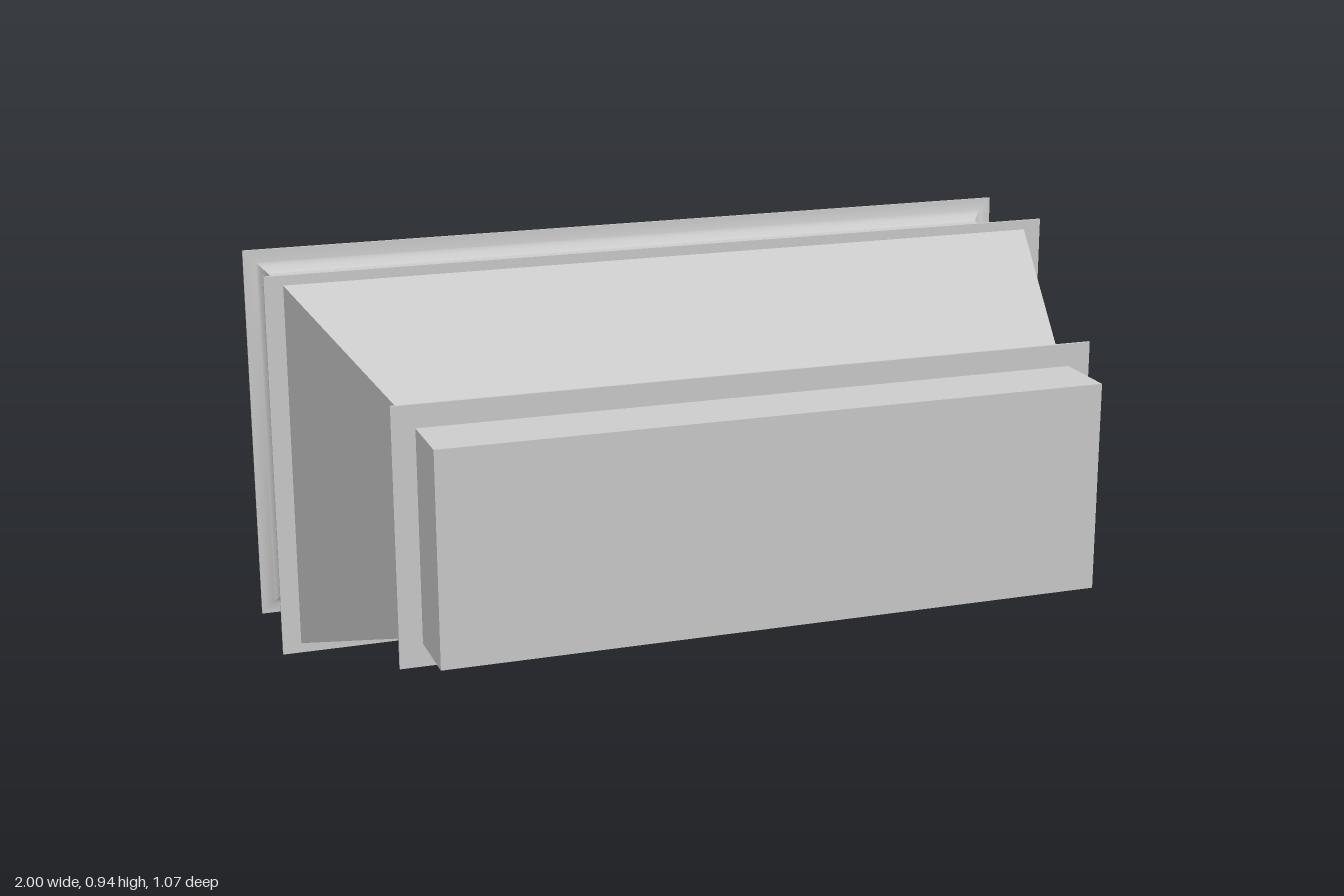
import * as THREE from 'three';
import { toCreasedNormals } from 'three/addons/utils/BufferGeometryUtils.js';

const CENTRE_Y = 0.47;
const CORNERS = [[1, 1], [-1, 1], [-1, -1], [1, -1]];

// Rectangular loft through rings [halfWidth, halfHeight, z], ordered front to back
function loft(rings, capFront, capBack) {
  const pos = [], index = [];
  for (const [w, h, z] of rings) for (const [sx, sy] of CORNERS) pos.push(sx * w, CENTRE_Y + sy * h, z);
  for (let i = 0; i < rings.length - 1; i++) {
    for (let j = 0; j < 4; j++) {
      const a = i * 4 + j, a1 = i * 4 + (j + 1) % 4;
      index.push(a, a + 4, a1, a1, a + 4, a1 + 4);
    }
  }
  const e = (rings.length - 1) * 4;
  if (capFront) index.push(0, 1, 2, 0, 2, 3);
  if (capBack) index.push(e, e + 2, e + 1, e, e + 3, e + 2);
  const geo = new THREE.BufferGeometry();
  geo.setAttribute('position', new THREE.Float32BufferAttribute(pos, 3));
  geo.setIndex(index);
  return toCreasedNormals(geo, 0.6);
}

// Cove moulding: lip at the flat face sweeping down to the duct wall
function cove(w, h, size, zFace, depth, steps = 10) {
  const rings = [];
  for (let i = 0; i <= steps; i++) {
    const t = i / steps, a = t * Math.PI / 2;
    // shallow S at the lip, then a concave quarter curve
    const out = size * (1 - Math.sin(a) * 0.85 - t * 0.15);
    const along = 0.15 + 0.85 * (1 - Math.cos(a));
    rings.push([w + out, h + out, zFace + depth * along]);
  }
  return [[w + size, h + size, zFace], ...rings];
}

export function createModel() {
  const group = new THREE.Group();
  const material = new THREE.MeshStandardMaterial({ color: 0xcccccc, side: THREE.DoubleSide });
  const add = (name, geo) => {
    const mesh = new THREE.Mesh(geo, material);
    mesh.name = name;
    group.add(mesh);
  };

  const small = [0.785, 0.249], large = [0.945, 0.415];

  // Closed front outlet
  add('frontOutlet', loft([[...small, 0.533], [...small, 0.32]], true, false));

  // Front flange, flat face forward
  add('frontFlange', loft([[...small, 0.365], ...cove(...small, 0.054, 0.365, -0.042)], false, false));

  // Tapered transition
  add('transition', loft([[...small, 0.325], [0.955, 0.446, -0.23]], false, false));

  // Middle flange, flat face forward
  add('middleFlange', loft([[0.92, 0.39, -0.23], ...cove(...large, 0.055, -0.23, -0.04)], false, false));

  // Rear duct outer wall
  add('rearDuct', loft([[...large, -0.265], [...large, -0.5]], false, false));

  // Rear flange, flat face backward, with the rim of the opening
  const rear = cove(...large, 0.055, -0.533, 0.037).reverse();
  add('rearFlange', loft([...rear, [0.92, 0.39, -0.533]], false, false));

  // Recess seen through the rear opening
  add('rearCollar', loft([[0.92, 0.39, -0.533], [0.92, 0.39, -0.465]], false, false));
  add('rearRecess', loft([[0.92, 0.39, -0.465], [0.92, 0.39, -0.231]], false, false));
  add('recessPanel', loft([[0.92, 0.39, -0.231]], false, true));

  return group;
}
